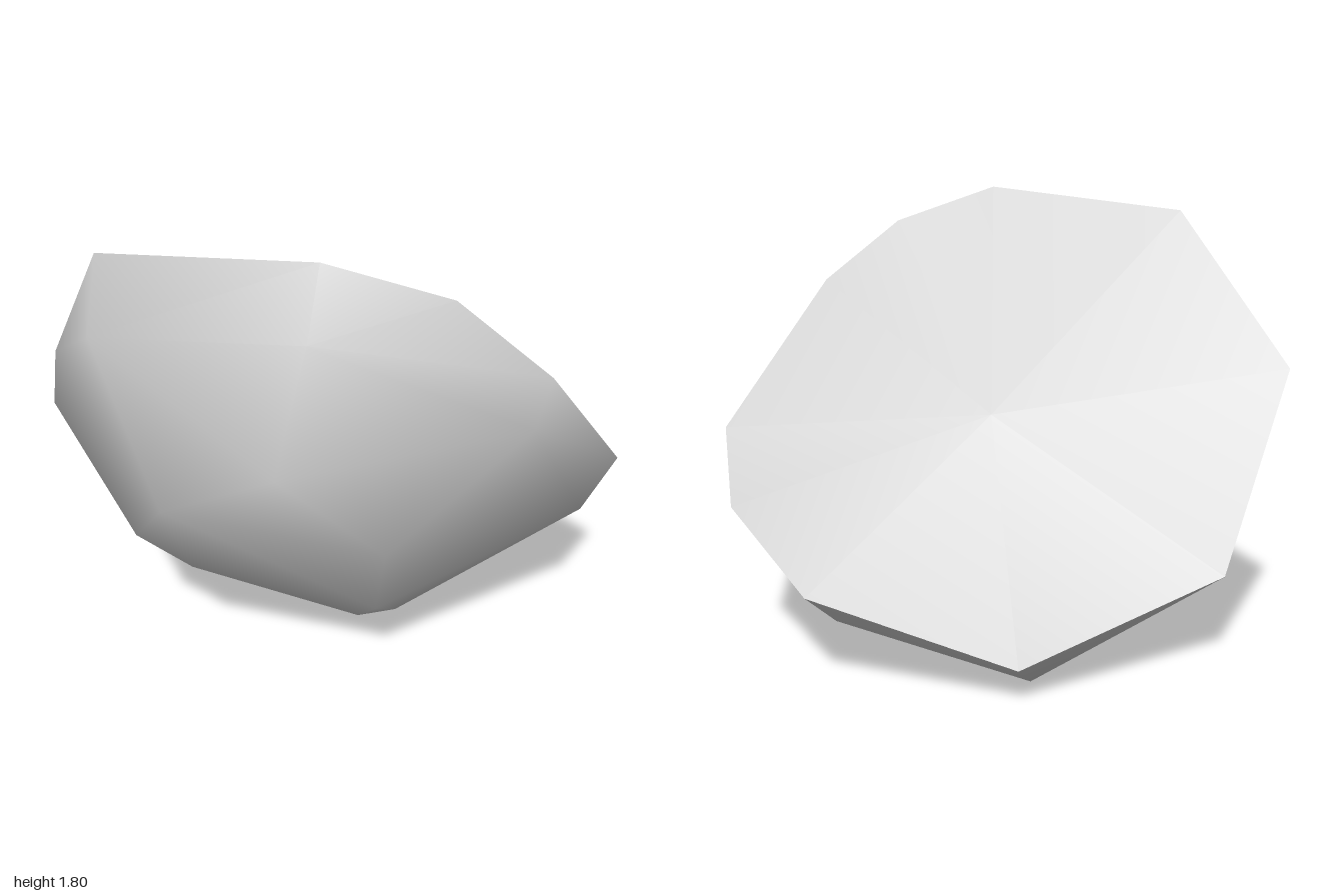
import * as THREE from 'three';
import { ConvexGeometry } from 'three/addons/geometries/ConvexGeometry.js';
import { mergeVertices } from 'three/addons/utils/BufferGeometryUtils.js';

const vec = (p) => new THREE.Vector3(...p);

// Rim of the sloping cut, counter-clockwise seen from above
const rim = [
  [0.41, 1.8, 0.59], [0.71, 1.65, 0.28], [0.98, 1.39, 0.1], [1, 0.81, -0.51], [0.74, 0.56, -0.74],
  [0.22, 0.34, -0.9], [-0.48, 0.13, -0.61], [-0.93, 0.35, 0.1], [-1, 1.08, 0.53], [-0.43, 1.69, 0.75],
].map(vec);

// Corners of the rounded rock body, from the upper front down to the underside
const body = [
  [0.46, 1.585, 0.72], [-0.33, 1.46, 0.9], [-0.05, 0.88, 0.9], [0.42, 1.15, 0.84], [0.98, 1.24, 0.2],
  [0.65, 0.8, 0.55], [0.95, 0.65, -0.33], [-0.89, 0.93, 0.65], [-0.35, 0.58, 0.76], [-0.12, 0.5, 0.7],
  [0.5, 0.4, 0.38], [-0.385, 0.26, 0.46], [-0.33, 0.195, 0.38], [0.29, 0.15, 0.2], [0.37, 0.125, 0.05],
  [-0.2, 0.08, 0], [-0.31, 0.04, -0.24], [-0.4, 0, -0.4], [0.37, 0.125, -0.57],
].map(vec);

const cutCentre = vec([0, 0.89, -0.05]);
const apex = vec([-0.17, 1.44, -0.52]); // helper above the cut, removed from the hull

function smoothGeometry(points) {
  const flat = new THREE.BufferGeometry().setFromPoints(points);
  const geometry = mergeVertices(flat, 1e-4);
  geometry.computeVertexNormals();
  return geometry;
}

// Hull of rim and body, left open where the cut goes
function domeGeometry() {
  const hull = new ConvexGeometry([...rim, ...body, apex]).getAttribute('position');
  const kept = [];
  for (let i = 0; i < hull.count; i += 3) {
    const tri = [0, 1, 2].map((k) => new THREE.Vector3().fromBufferAttribute(hull, i + k));
    if (!tri.some((p) => p.distanceTo(apex) < 1e-4)) kept.push(...tri);
  }
  return smoothGeometry(kept);
}

// Slightly warped cut face, a fan around its centre
function cutGeometry() {
  return smoothGeometry(rim.flatMap((p, i) => [cutCentre, p, rim[(i + 1) % rim.length]]));
}

export function createModel() {
  const group = new THREE.Group();
  group.name = 'rockFragment';
  const material = new THREE.MeshStandardMaterial({ color: 0xcccccc, side: THREE.DoubleSide });
  const parts = { roundedBody: domeGeometry(), cutFace: cutGeometry() };
  for (const [name, geometry] of Object.entries(parts)) {
    const mesh = new THREE.Mesh(geometry, material);
    mesh.name = name;
    group.add(mesh);
  }
  return group;
}
